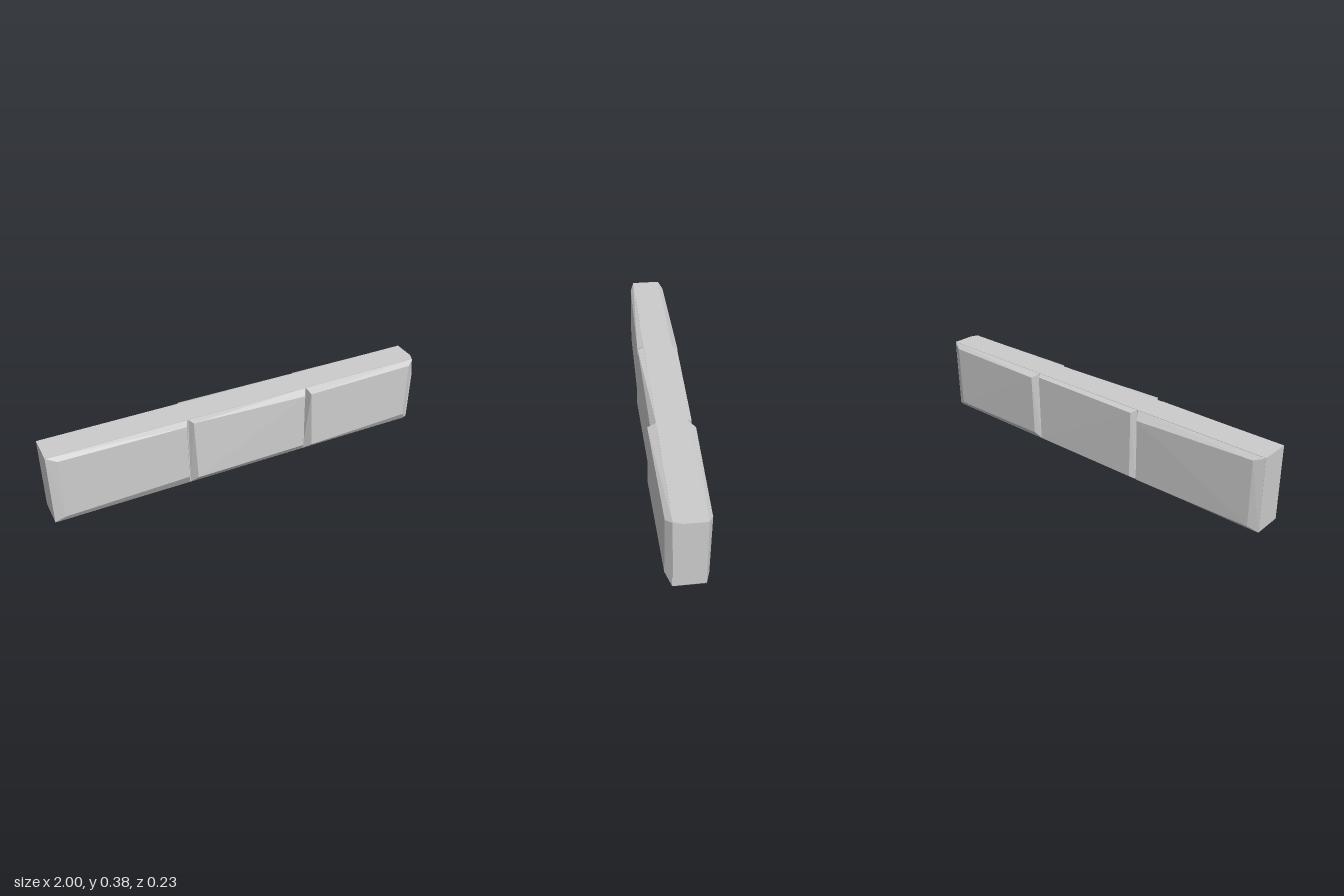
import * as THREE from 'three';
import { ConvexGeometry } from 'three/addons/geometries/ConvexGeometry.js';

const H = 0.383, FRONT = 0.068, BACK = -0.08;

export function createModel() {
  const group = new THREE.Group();
  const material = new THREE.MeshStandardMaterial({ color: 0xcccccc, flatShading: true });

  // Convex block spanned by a handful of corners
  const block = (name, corners) => {
    const mesh = new THREE.Mesh(new ConvexGeometry(corners.map(c => new THREE.Vector3(...c))), material);
    mesh.name = name;
    group.add(mesh);
  };

  // Core slab: worn lower edge and a chipped front corner on the +x end
  block('coreSlab', [
    [-1, 0.005, FRONT], [-1, 0.005, BACK], [-1, H, FRONT], [-1, H, BACK],
    [-0.97, 0, FRONT - 0.005], [-0.97, 0, BACK + 0.005],
    [0.985, 0, FRONT - 0.005], [0.985, 0, BACK + 0.005],
    [0.997, 0.013, FRONT], [0.997, 0.018, BACK], [1, H, BACK],
    [0.999, 0.215, 0], [1, H, 0.03], [0.998, 0.29, FRONT], [0.985, H, FRONT],
  ]);

  // Raised stone: outer rectangle on the slab rising to an uneven face.
  // Face corners are [x, y, z]
  const stone = (name, x0, x1, base, face) => block(name, [
    [x0, 0.006, base], [x1, 0.006, base], [x1, H - 0.002, base], [x0, H - 0.002, base], ...face,
  ]);

  // Front stones
  stone('frontStoneRight', -0.999, -0.31, FRONT,
    [[-0.95, 0.04, 0.09], [-0.325, 0.068, 0.104], [-0.325, 0.366, 0.1], [-0.95, 0.36, 0.086]]);
  stone('frontStoneMiddle', -0.305, 0.333, FRONT,
    [[-0.28, 0.055, 0.112], [0.325, 0.048, 0.098], [0.32, 0.35, 0.094], [-0.29, 0.376, 0.1]]);
  stone('frontStoneLeft', 0.338, 0.988, FRONT,
    [[0.365, 0.05, 0.114], [0.95, 0.055, 0.097], [0.95, 0.362, 0.095], [0.347, 0.364, 0.11]]);

  // Back stones
  stone('backStoneRight', -0.999, -0.31, BACK,
    [[-0.95, 0.025, -0.097], [-0.325, 0.02, -0.103], [-0.33, 0.345, -0.113], [-0.95, 0.362, -0.101]]);
  stone('backStoneMiddle', -0.305, 0.333, BACK,
    [[-0.28, 0.02, -0.101], [0.32, 0.02, -0.1], [0.325, 0.37, -0.1], [-0.285, 0.37, -0.106]]);
  stone('backStoneLeft', 0.338, 0.997, BACK,
    [[0.365, 0.04, -0.105], [0.95, 0.03, -0.098], [0.95, 0.36, -0.103], [0.365, 0.362, -0.115]]);

  return group;
}
